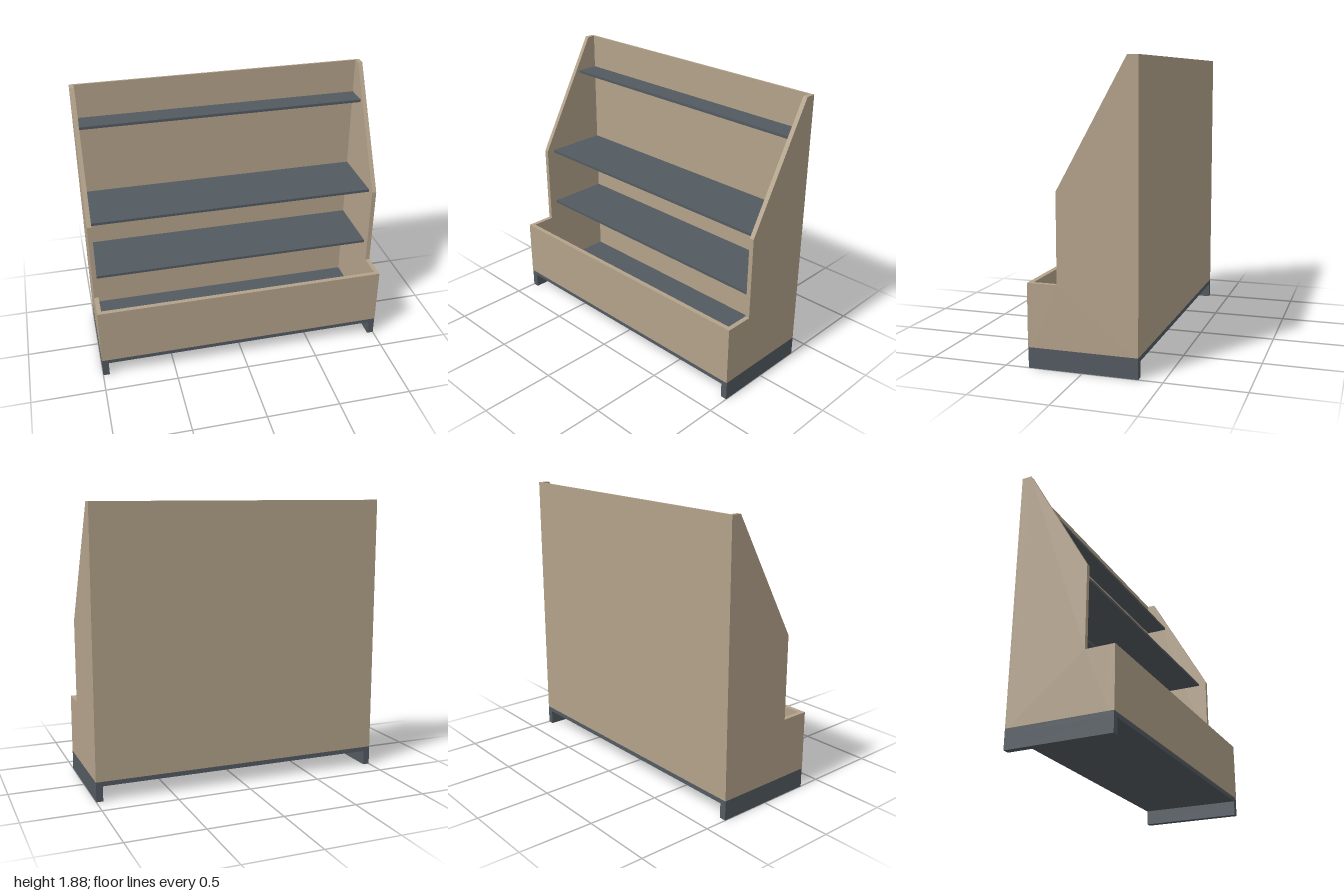
import * as THREE from 'three';

export function createModel() {
  const model = new THREE.Group();
  model.name = 'displayShelf';
  const tan = new THREE.MeshStandardMaterial({ color: 0xb3a28a });
  tan.name = 'tan panel';
  const slate = new THREE.MeshStandardMaterial({ color: 0x525a61 });
  slate.name = 'slate metal';

  // Box given by its minimum and maximum corners
  const box = (name, material, [x0, y0, z0], [x1, y1, z1]) => {
    const mesh = new THREE.Mesh(new THREE.BoxGeometry(x1 - x0, y1 - y0, z1 - z0), material);
    mesh.position.set((x0 + x1) / 2, (y0 + y1) / 2, (z0 + z1) / 2);
    mesh.name = name;
    model.add(mesh);
  };

  const inner = 0.97, backZ = -0.337, frontZ = 0.318;

  // Base slab with a full-depth runner foot at each end
  box('base', slate, [-1, 0.1, -0.35], [1, 0.13, 0.347]);
  box('rightFoot', slate, [-1, 0, -0.35], [-0.955, 0.1, 0.347]);
  box('leftFoot', slate, [0.955, 0, -0.35], [1, 0.1, 0.347]);

  // Back and front panels
  box('backPanel', tan, [-1, 0.13, -0.35], [1, 1.88, backZ]);
  box('frontPanel', tan, [-1, 0.13, frontZ], [1, 0.53, 0.35]);

  // Stepped and sloped side panels; profile is (z, y)
  const profile = new THREE.Shape([
    [backZ, 0.13], [frontZ, 0.13], [frontZ, 0.53], [0.157, 0.53],
    [0.157, 1.09], [-0.283, 1.88], [backZ, 1.88],
  ].map(([z, y]) => new THREE.Vector2(-z, y)));
  const sideGeometry = new THREE.ExtrudeGeometry(profile, { depth: 1 - inner, bevelEnabled: false });
  sideGeometry.rotateY(Math.PI / 2);
  for (const [name, x] of [['leftSide', inner], ['rightSide', -1]]) {
    const side = new THREE.Mesh(sideGeometry, tan);
    side.name = name;
    side.position.x = x;
    model.add(side);
  }

  // Shelves: underside height and front edge
  [[0.646, 0.1], [1.067, 0.1], [1.628, -0.183]].forEach(([y, z], i) =>
    box(`shelf${i + 1}`, slate, [-inner, y, backZ], [inner, y + 0.018, z]));

  return model;
}
